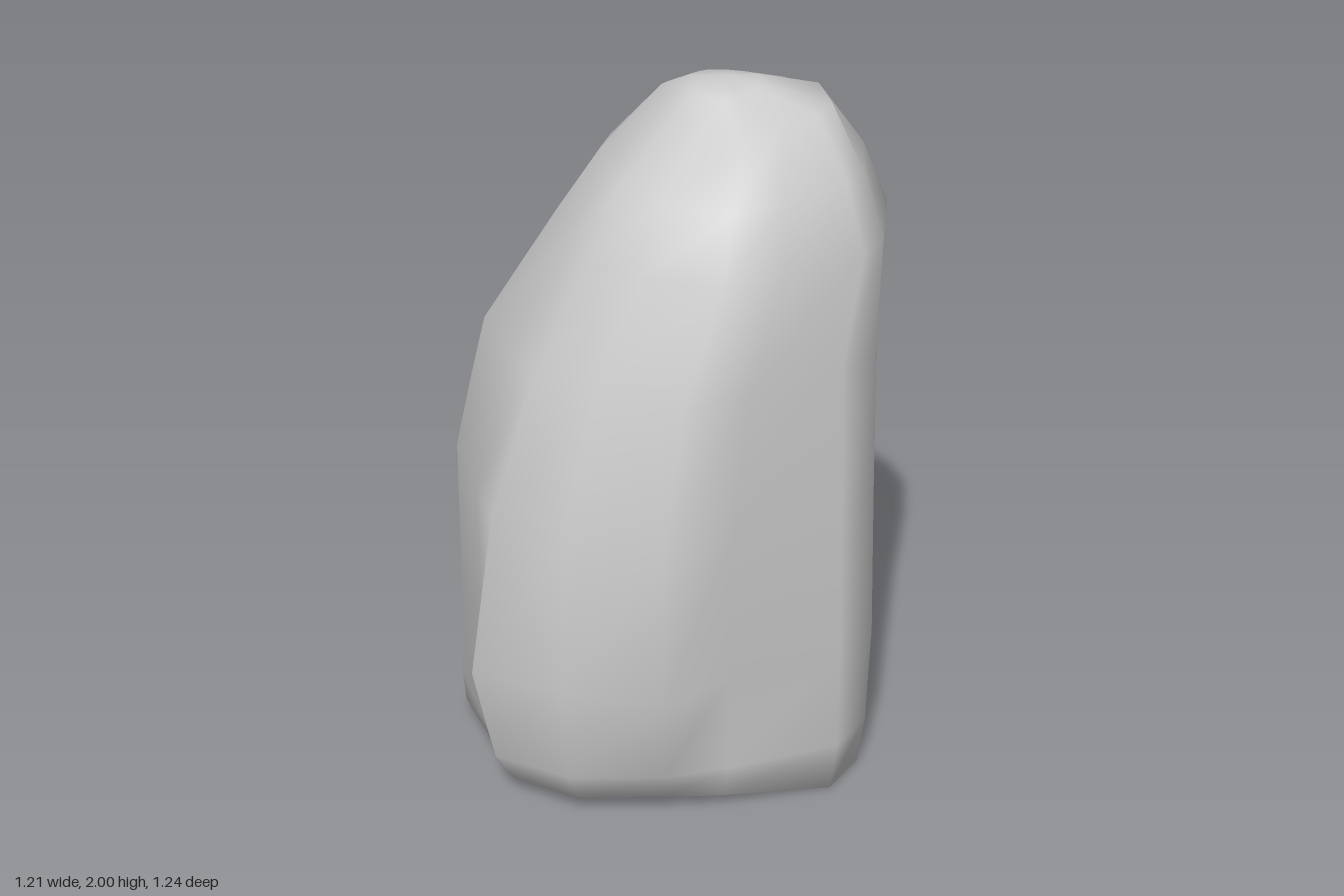
import * as THREE from 'three';

// Directions of the ridges and hollows, in degrees from +x towards +z
const ANGLES = [-15, 20, 36, 70, 91, 118, 140, 157, 184, 203, 228, 250, 272, 300, 319];

// Each level: height, centre x, centre z, radius along every direction
const LEVELS = [
  [0.05, 0, 0, [0.58, 0.58, 0.57, 0.46, 0.46, 0.53, 0.57, 0.54, 0.60, 0.60, 0.60, 0.53, 0.48, 0.54, 0.66]],
  [0.15, 0, 0, [0.60, 0.60, 0.59, 0.49, 0.51, 0.58, 0.63, 0.57, 0.61, 0.64, 0.64, 0.61, 0.57, 0.57, 0.71]],
  [0.45, 0, 0, [0.60, 0.61, 0.59, 0.50, 0.625, 0.61, 0.70, 0.57, 0.60, 0.65, 0.60, 0.58, 0.62, 0.59, 0.69]],
  [0.90, 0, 0, [0.59, 0.60, 0.58, 0.51, 0.60, 0.58, 0.62, 0.57, 0.60, 0.65, 0.57, 0.54, 0.57, 0.55, 0.61]],
  [1.30, 0.05, 0, [0.55, 0.54, 0.51, 0.48, 0.52, 0.51, 0.53, 0.52, 0.56, 0.56, 0.51, 0.50, 0.50, 0.51, 0.525]],
  [1.60, 0.15, -0.05, [0.465, 0.45, 0.45, 0.44, 0.47, 0.47, 0.47, 0.45, 0.46, 0.45, 0.43, 0.44, 0.46, 0.43, 0.425]],
  [1.77, 0.17, -0.08, [0.37, 0.37, 0.37, 0.38, 0.43, 0.41, 0.39, 0.36, 0.36, 0.36, 0.36, 0.37, 0.38, 0.36, 0.34]],
  [1.95, 0.20, -0.12, [0.21, 0.25, 0.24, 0.25, 0.28, 0.27, 0.25, 0.23, 0.22, 0.22, 0.25, 0.31, 0.29, 0.23, 0.18]],
];

function rockGeometry() {
  const n = ANGLES.length;
  const base = LEVELS[0];
  const crown = LEVELS[LEVELS.length - 1];
  // Inset rings close the underside and the crown
  const rings = [
    [0.05, 0, 0, base[3].map((r) => r * 0.85)],
    ...LEVELS,
    [2.0, 0.15, -0.06, crown[3].map((r) => r * 0.43)],
  ];
  const positions = [];
  const index = [];

  // The underside dips towards the front left; the crown falls away to front and back
  const addPoint = (x, y, z, cz) => {
    const side = THREE.MathUtils.smoothstep(x, 0.05, 0.4);
    const front = THREE.MathUtils.smoothstep(z, -0.45, 0.2);
    let drop = 0;
    if (y < 0.1) drop = 0.05 * side * front;
    if (y > 1.9) drop = 0.25 * Math.abs(z - cz);
    positions.push(x, y - drop, z);
  };

  for (const [y, cx, cz, radii] of rings) {
    radii.forEach((r, k) => {
      const a = THREE.MathUtils.degToRad(ANGLES[k]);
      addPoint(cx + r * Math.cos(a), y, cz + r * Math.sin(a), cz);
    });
  }
  const bottom = positions.length / 3;
  addPoint(0, 0.05, 0, 0);
  const top = bottom + 1;
  addPoint(0.15, 2.0, -0.06, -0.06);

  // Skin between neighbouring rings
  for (let i = 0; i < rings.length - 1; i++) {
    for (let k = 0; k < n; k++) {
      const a = i * n + k;
      const b = i * n + ((k + 1) % n);
      index.push(a, a + n, b, b, a + n, b + n);
    }
  }
  // Underside and crown fans
  const last = (rings.length - 1) * n;
  for (let k = 0; k < n; k++) {
    const next = (k + 1) % n;
    index.push(bottom, k, next);
    index.push(top, last + next, last + k);
  }

  const geometry = new THREE.BufferGeometry();
  geometry.setAttribute('position', new THREE.Float32BufferAttribute(positions, 3));
  geometry.setIndex(index);
  geometry.computeVertexNormals();
  return geometry;
}

export function createModel() {
  const model = new THREE.Group();
  model.name = 'standingStone';
  const rock = new THREE.Mesh(rockGeometry(), new THREE.MeshStandardMaterial({ color: 0xcccccc }));
  rock.name = 'rock';
  model.add(rock);
  return model;
}
